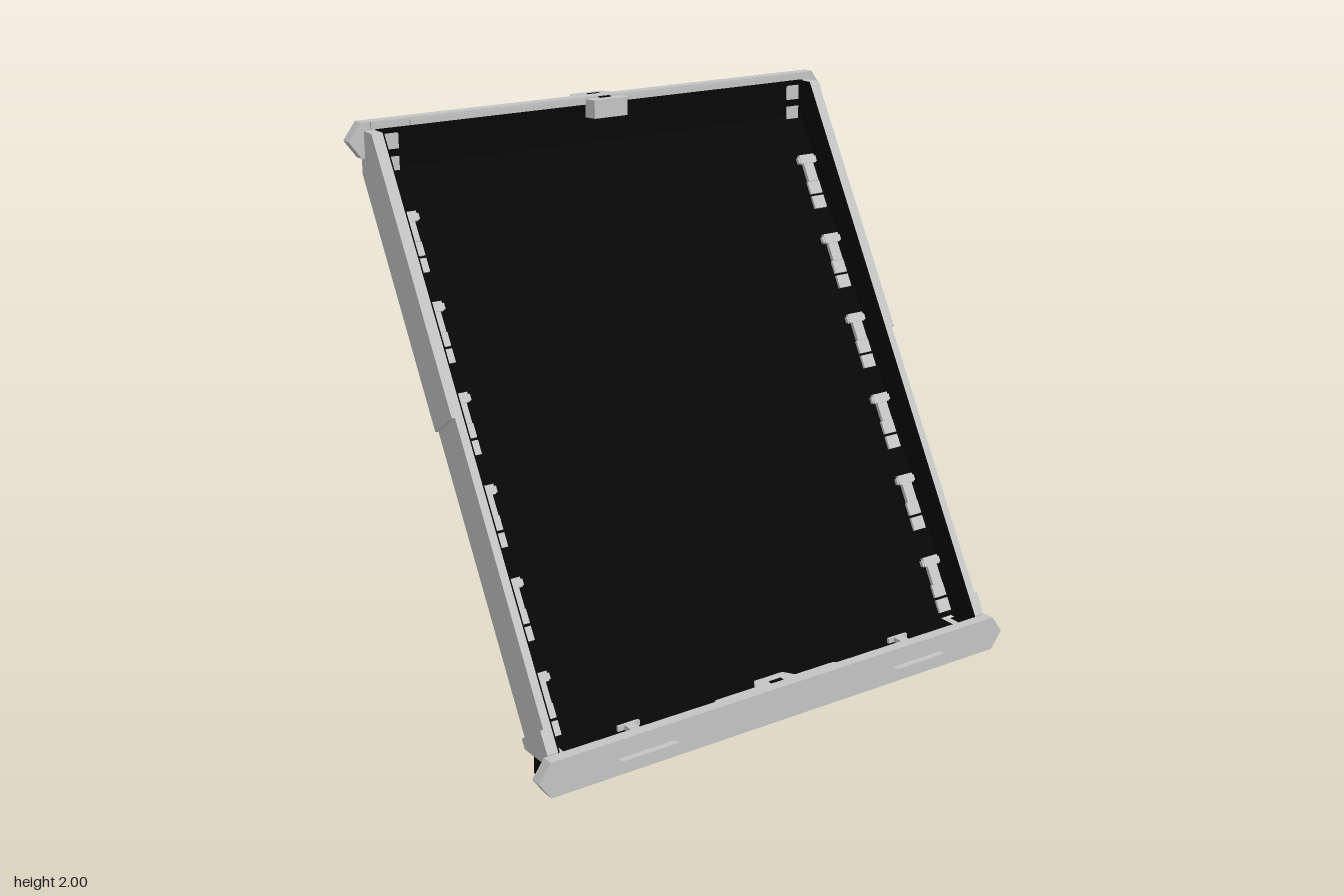
import * as THREE from 'three';

const TILT = 0.515; // lean of the panel from vertical

export function createModel() {
  const root = new THREE.Group();
  const grey = new THREE.MeshStandardMaterial({ color: 0xc4c4c4 });
  grey.name = 'light grey metal';
  const black = new THREE.MeshStandardMaterial({ color: 0x070707 });
  black.name = 'black panel';

  const add = (name, geo, mat, parent = root) => {
    const mesh = new THREE.Mesh(geo, mat);
    mesh.name = name;
    parent.add(mesh);
    return mesh;
  };
  // Box given by its minimum and maximum on each axis
  const box = (name, mat, [x0, x1], [y0, y1], [z0, z1], parent = root) => {
    const mesh = add(name, new THREE.BoxGeometry(x1 - x0, y1 - y0, z1 - z0), mat, parent);
    mesh.position.set((x0 + x1) / 2, (y0 + y1) / 2, (z0 + z1) / 2);
    return mesh;
  };
  const extrude = (pts, depth) => new THREE.ExtrudeGeometry(
    new THREE.Shape(pts.map(([a, b]) => new THREE.Vector2(a, b))),
    { depth, bevelEnabled: false });
  // Outline in x, y pushed along z
  const frontPlate = (name, pts, z0, z1) =>
    add(name, extrude(pts, z1 - z0).translate(0, 0, z0), grey);
  // Outline in z, y pushed along x
  const sidePlate = (name, mat, pts, x0, x1) =>
    add(name, extrude(pts.map(([z, y]) => [-z, y]), x1 - x0)
      .rotateY(Math.PI / 2).translate(x0, 0, 0), mat);
  // Outline in x, z pushed along y
  const floorPlate = (name, pts, y0, y1) =>
    add(name, extrude(pts.map(([x, z]) => [x, -z]), y1 - y0)
      .rotateX(-Math.PI / 2).translate(0, y0, 0), grey);
  const hexBar = (y0, y1) => {
    const m = (y0 + y1) / 2;
    return [[-0.935, y0], [0.935, y0], [0.98, m], [0.935, y1], [-0.935, y1], [-0.98, m]];
  };
  const trapezoid = (wide, narrow, z0, z1) =>
    [[-wide, z0], [wide, z0], [narrow, z1], [-narrow, z1]];

  // Side rails with slightly thicker pads at the ends and upper half
  const frontZ = y => 0.56 - (y - 0.17) * 0.567;
  const backZ = y => 0.42 - (y - 0.13) * 0.567;
  const rail = [[0.56, 0.13], [0.56, 0.17], [-0.46, 1.97], [-0.54, 1.97],
    [-0.54, 1.825], [0.42, 0.13]];
  const upperPad = [[frontZ(1.13), 1.13], [-0.46, 1.97], [-0.54, 1.97],
    [-0.54, 1.825], [backZ(1.05), 1.05]];
  const lowerPad = [[frontZ(0.24), 0.24], [backZ(0.16), 0.16], [0.42, 0.13],
    [0.56, 0.13], [0.56, 0.17]];
  for (const s of [1, -1]) {
    const strip = (name, mat, pts, a, b) =>
      sidePlate(name, mat, pts, s > 0 ? a : -b, s > 0 ? b : -a);
    strip('sideRail', grey, rail, 0.884, 0.913);
    strip('railLining', black, rail, 0.879, 0.884);
    strip('railUpperPad', grey, upperPad, 0.913, 0.924);
    strip('railLowerPad', grey, lowerPad, 0.913, 0.924);
    // Foot bracket and its dark end block
    strip('footBracket', grey, [[0.54, 0.055], [0.54, 0.13], [0.45, 0.13], [0.43, 0.15],
      [0.355, 0.15], [0.355, 0.06], [0.37, 0.05]], 0.83, 0.858);
    const e = s > 0 ? [0.858, 0.915] : [-0.915, -0.858];
    box('footBlock', black, e, [0.06, 0.132], [0.46, 0.56]);
  }

  // Leaning panel: y runs up the slope, z along its normal
  const panel = new THREE.Group();
  panel.name = 'leaningPanel';
  panel.rotation.x = -TILT;
  root.add(panel);
  box('panelCore', black, [-0.884, 0.884], [-0.09, 1.85], [0.435, 0.468], panel);
  const PITCH = 0.313;
  for (let i = 0; i < 6; i++) {
    const top = 1.687 - i * PITCH;
    // Overlapping slats
    const upper = box('slat', black, [-0.88, 0.88], [top - 0.1, top + 0.07], [0.43, 0.469], panel);
    upper.rotation.x = 0.03;
    const lower = box('slat', black, [-0.88, 0.88], [top - 0.225, top - 0.085], [0.42, 0.466], panel);
    lower.rotation.x = -0.04;
    // Clasps on both edges
    for (const x of [-0.835, 0.835]) {
      const bit = (name, w, a, b, n0, n1) =>
        box(name, grey, [x - w, x + w], [top - b, top - a], [n0, n1], panel);
      bit('claspHead', 0.034, -0.004, 0.03, 0.416, 0.484);
      bit('claspHeadEnds', 0.042, 0.004, 0.026, 0.42, 0.482);
      bit('claspStem', 0.022, 0.03, 0.1, 0.409, 0.482);
      bit('claspPad', 0.027, 0.1, 0.148, 0.416, 0.478);
      bit('claspPad', 0.027, 0.157, 0.205, 0.416, 0.478);
    }
  }

  // Upright head of the panel with square pads
  box('panelHead', black, [-0.884, 0.884], [1.8, 1.973], [-0.53, -0.505]);
  for (const x of [-0.835, 0.835])
    for (const y of [1.852, 1.93])
      box('headPad', grey, [x - 0.027, x + 0.027], [y - 0.026, y + 0.026], [-0.545, -0.499]);

  // Top bar with ledges and handle tabs
  frontPlate('topBar', hexBar(1.88, 2), -0.555, -0.515);
  box('topBarCap', grey, [-0.9, 0.9], [1.974, 1.999], [-0.52, -0.508]);
  box('topFrontLedge', grey, [-0.76, 0.76], [1.975, 1.994], [-0.51, -0.502]);
  floorPlate('topBackLedge', trapezoid(0.78, 0.75, -0.555, -0.583).reverse(), 1.945, 1.985);
  floorPlate('topBackTab', trapezoid(0.085, 0.065, -0.583, -0.625).reverse(), 1.93, 1.994);
  floorPlate('topFrontTab', trapezoid(0.08, 0.068, -0.515, -0.46), 1.93, 1.994);
  for (const z of [-0.575, -0.504])
    box('tabSlot', black, [-0.022, 0.022], [1.992, 1.998], [z - 0.008, z + 0.008]);

  // Bottom bar, dark sill and fittings
  frontPlate('bottomBar', hexBar(0.04, 0.165), 0.558, 0.598);
  box('sill', black, [-0.83, 0.83], [0.085, 0.13], [0.425, 0.558]);
  box('sillRail', grey, [-0.83, 0.83], [0.088, 0.1], [0.418, 0.425]);
  floorPlate('bottomLedge', trapezoid(0.285, 0.25, 0.558, 0.525).reverse(), 0.065, 0.15);
  floorPlate('bottomTab', trapezoid(0.085, 0.06, 0.525, 0.485).reverse(), 0.065, 0.15);
  box('tabSlot', black, [-0.024, 0.024], [0.148, 0.154], [0.522, 0.54]);
  for (const x of [-0.575, 0.575]) {
    box('pegStem', grey, [x - 0.018, x + 0.018], [0.065, 0.148], [0.49, 0.558]);
    box('pegHead', grey, [x - 0.042, x + 0.042], [0.065, 0.148], [0.483, 0.494]);
    // Paper-thin tread in front of the bar
    add('frontTread', new THREE.PlaneGeometry(0.22, 0.022).rotateX(-Math.PI / 2), grey)
      .position.set(x, 0.1, 0.609);
  }

  // Thin handle under the bar
  const V = (x, y) => new THREE.Vector3(x, y, 0.5);
  const path = new THREE.CurvePath();
  path.add(new THREE.LineCurve3(V(-0.505, 0.09), V(-0.505, 0.03)));
  path.add(new THREE.QuadraticBezierCurve3(V(-0.505, 0.03), V(-0.505, 0.01), V(-0.48, 0.01)));
  path.add(new THREE.LineCurve3(V(-0.48, 0.01), V(0.48, 0.01)));
  path.add(new THREE.QuadraticBezierCurve3(V(0.48, 0.01), V(0.505, 0.01), V(0.505, 0.03)));
  path.add(new THREE.LineCurve3(V(0.505, 0.03), V(0.505, 0.09)));
  add('lowerHandle', new THREE.TubeGeometry(path, 160, 0.009, 8, false), grey);

  return root;
}
